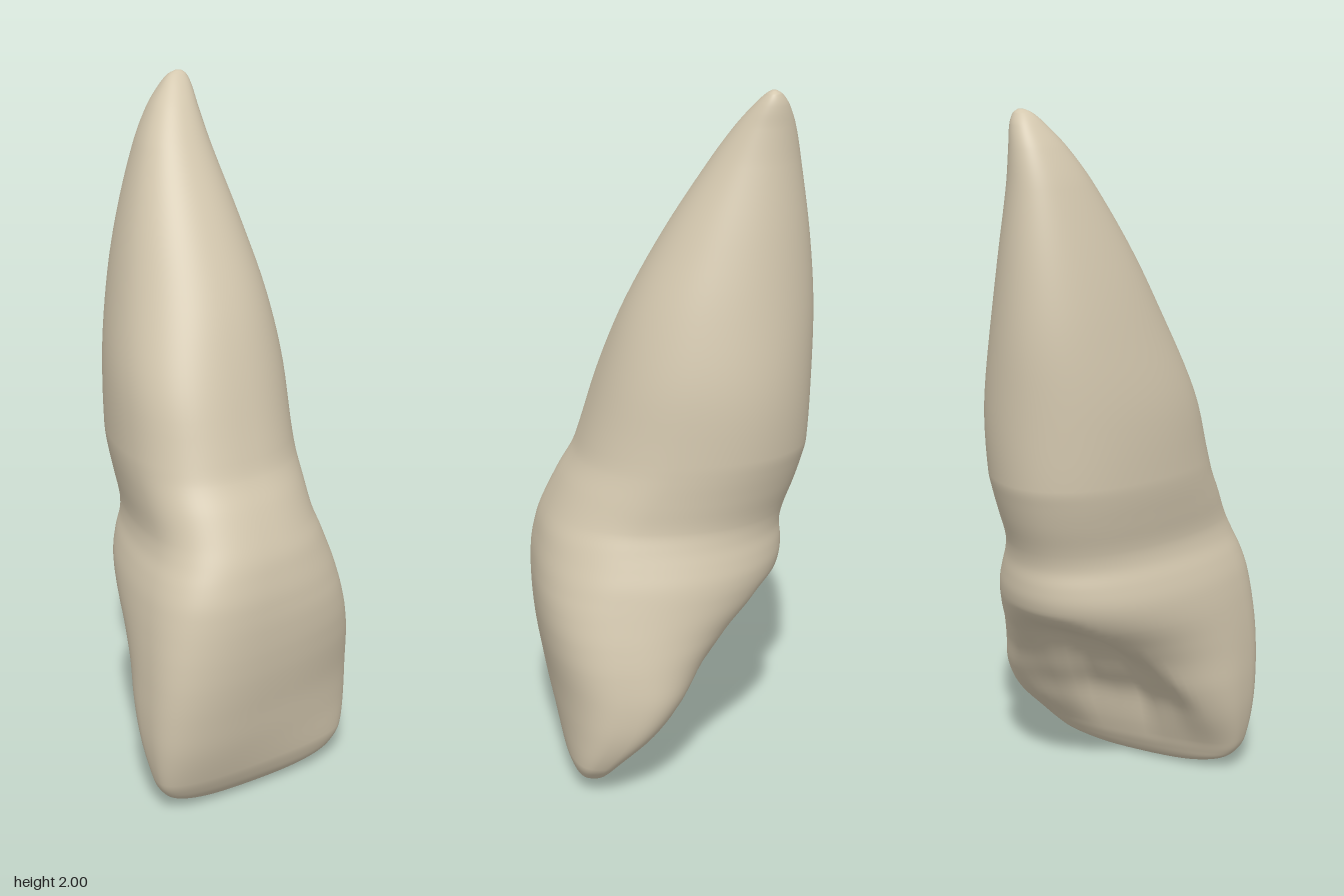
import * as THREE from 'three';

// Cross-sections from biting edge to root tip: y, min x, max x, front z, back z
const LEVELS = [
  [0, -0.10, 0.05, 0.25, 0.22],
  [0.012, -0.21, 0.15, 0.28, 0.195],
  [0.032, -0.285, 0.24, 0.303, 0.175],
  [0.06, -0.322, 0.287, 0.322, 0.155],
  [0.1, -0.342, 0.319, 0.341, 0.122],
  [0.2, -0.36, 0.352, 0.372, 0.02],
  [0.3, -0.365, 0.36, 0.391, -0.06],
  [0.4, -0.362, 0.352, 0.405, -0.125],
  [0.48, -0.357, 0.338, 0.411, -0.20],
  [0.55, -0.35, 0.322, 0.413, -0.275],
  [0.6, -0.343, 0.31, 0.412, -0.312],
  [0.65, -0.333, 0.297, 0.408, -0.33],
  [0.7, -0.317, 0.28, 0.398, -0.332],
  [0.75, -0.297, 0.263, 0.384, -0.328],
  [0.8, -0.287, 0.249, 0.363, -0.338],
  [0.88, -0.29, 0.246, 0.323, -0.368],
  [0.95, -0.293, 0.246, 0.282, -0.39],
  [1.0, -0.293, 0.246, 0.263, -0.402],
  [1.2, -0.28, 0.24, 0.20, -0.411],
  [1.4, -0.237, 0.207, 0.12, -0.413],
  [1.6, -0.182, 0.16, 0.012, -0.397],
  [1.8, -0.108, 0.11, -0.115, -0.368],
  [1.9, -0.055, 0.092, -0.185, -0.35],
  [1.96, -0.01, 0.085, -0.235, -0.33],
  [1.99, 0.02, 0.075, -0.265, -0.31],
  [2.0, 0.042, 0.062, -0.28, -0.295],
];
const SEGMENTS = 80;
const STEPS = 5;
const smooth = (a, b, v) => THREE.MathUtils.smoothstep(v, a, b);
const lerp = THREE.MathUtils.lerp;

// Smooth interpolation between the levels
function slope(i, k) {
  const a = LEVELS[Math.max(0, i - 1)], b = LEVELS[Math.min(LEVELS.length - 1, i + 1)];
  return (b[k] - a[k]) / (b[0] - a[0]);
}
function sample(i, f) {
  const a = LEVELS[i], b = LEVELS[i + 1], h = b[0] - a[0];
  return a.map((v, k) => k === 0 ? lerp(v, b[0], f)
    : (2 * f ** 3 - 3 * f * f + 1) * v + (f ** 3 - 2 * f * f + f) * h * slope(i, k)
    + (3 * f * f - 2 * f ** 3) * b[k] + (f ** 3 - f * f) * h * slope(i + 1, k));
}

// One ring: broad front, narrowing back, slightly skewed, fitted to its level
function ring([y, x0, x1, z0, z1]) {
  const neck = smooth(0.5, 0.88, y);
  const low = 1 - smooth(0.15, 0.6, y);
  const frontPower = lerp(0.72, 0.86, neck) + 0.08 * smooth(1.1, 1.5, y);
  const backPower = 1.03 - 0.33 * low;
  const frontShare = lerp(lerp(0.35, 0.5, low), 0.42, smooth(0.7, 1.1, y));
  const skew = 0.08 + 0.14 * low - 0.05 * smooth(1.1, 1.5, y);
  const lean = 0.12 * smooth(0.4, 0.65, y);
  const points = [];
  for (let i = 0; i < SEGMENTS; i++) {
    const t = i / SEGMENTS * Math.PI * 2, c = Math.cos(t), s = Math.sin(t);
    const p = s > 0 ? frontPower : backPower;
    const x = Math.sign(c) * Math.abs(c) ** p;
    const z = Math.sign(s) * Math.abs(s) ** p * (s > 0 ? frontShare : 1 - frontShare);
    points.push([x - lean * (1 - x * x) * smooth(0, 1, -s), z - skew * x, s]);
  }
  const zs = points.map(p => p[1]);
  const lo = Math.min(...zs), hi = Math.max(...zs);
  // Hollow of the back face, between two side ridges, with faint grooves
  const depth = 0.12 * smooth(0.05, 0.28, y) * (1 - smooth(0.46, 0.62, y));
  const hollow = lerp(0.3, 0.15, smooth(0.2, 0.6, y));
  return points.map(([u, w, s]) => {
    const x = lerp(x0, x1, (u + 1) / 2);
    let z = lerp(z1, z0, (w - lo) / (hi - lo));
    if (s < 0) {
      const bowl = Math.max(0, 1 - (x / hollow) ** 2) ** 1.5 * smooth(0, 0.5, -s);
      z += depth * bowl * (0.92 - 0.08 * Math.cos(x * 45));
    }
    return [x, y, z];
  });
}

export function createModel() {
  const group = new THREE.Group();
  group.name = 'tooth';
  const ivory = new THREE.MeshStandardMaterial({ color: 0xd4c8af });
  ivory.name = 'ivory';

  const rows = [];
  for (let i = 0; i < LEVELS.length - 1; i++)
    for (let j = 0; j < STEPS; j++) rows.push(sample(i, j / STEPS));
  rows.push(LEVELS[LEVELS.length - 1]);

  const positions = rows.flatMap(r => ring(r).flat());
  const bottom = rows.length * SEGMENTS, top = bottom + 1;
  positions.push(-0.025, 0, 0.235, 0.052, 2, -0.288);

  // Skin the rings; the neck line divides crown from root
  const crown = [], root = [];
  for (let r = 0; r < rows.length - 1; r++)
    for (let i = 0; i < SEGMENTS; i++) {
      const n = (i + 1) % SEGMENTS;
      const a = r * SEGMENTS + i, b = r * SEGMENTS + n, c = a + SEGMENTS, d = b + SEGMENTS;
      (rows[r][0] < 0.8 ? crown : root).push(a, c, b, b, c, d);
    }
  for (let i = 0; i < SEGMENTS; i++) {
    const n = (i + 1) % SEGMENTS, last = (rows.length - 1) * SEGMENTS;
    crown.push(bottom, i, n);
    root.push(top, last + n, last + i);
  }

  // Shared normals keep the join between crown and root smooth
  const whole = new THREE.BufferGeometry();
  whole.setAttribute('position', new THREE.Float32BufferAttribute(positions, 3));
  whole.setIndex([...crown, ...root]);
  whole.computeVertexNormals();
  for (const [name, index] of [['crown', crown], ['root', root]]) {
    const part = whole.clone();
    part.setIndex(index);
    const mesh = new THREE.Mesh(part, ivory);
    mesh.name = name;
    group.add(mesh);
  }
  return group;
}
